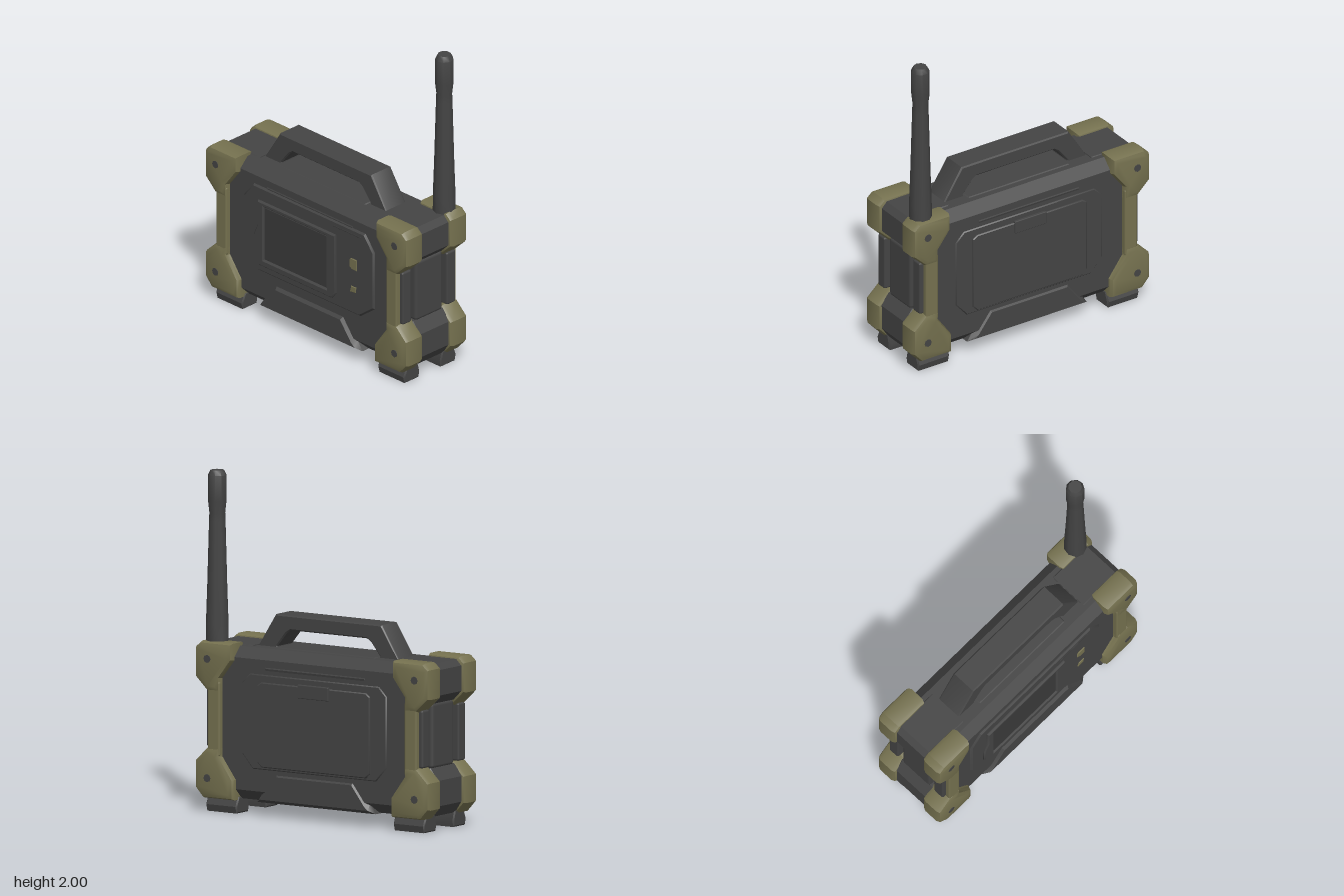
import * as THREE from 'three';
import { toCreasedNormals } from 'three/addons/utils/BufferGeometryUtils.js';
import { RoundedBoxGeometry } from 'three/addons/geometries/RoundedBoxGeometry.js';

const material = (name, color) => {
  const m = new THREE.MeshStandardMaterial({ color });
  m.name = name;
  return m;
};

export function createModel() {
  const group = new THREE.Group();
  group.name = 'fieldRadio';
  const dark = material('charcoal', 0x444444);
  const screenGrey = material('screenGrey', 0x3a3a3a);
  const olive = material('olive', 0x75714f);

  const add = (name, geometry, mat, x = 0, y = 0, z = 0) => {
    const mesh = new THREE.Mesh(geometry, mat);
    mesh.name = name;
    mesh.position.set(x, y, z);
    group.add(mesh);
    return mesh;
  };
  const box = (name, mat, x0, x1, y0, y1, z0, z1, r = 0.01) =>
    add(name, new RoundedBoxGeometry(x1 - x0, y1 - y0, z1 - z0, 1, r), mat,
      (x0 + x1) / 2, (y0 + y1) / 2, (z0 + z1) / 2);

  // Bevelled slab: outline in xy, between z0 and z1, bevel kept inside the outline
  const slab = (points, z0, z1, bevel = 0.01, segments = 1, holes = []) => {
    const shape = new THREE.Shape(points.map(([x, y]) => new THREE.Vector2(x, y)));
    for (const h of holes) shape.holes.push(new THREE.Path(h.map(([x, y]) => new THREE.Vector2(x, y))));
    const g = new THREE.ExtrudeGeometry(shape, {
      depth: z1 - z0 - 2 * bevel, bevelEnabled: true, bevelSize: bevel, bevelThickness: bevel,
      bevelOffset: -bevel, bevelSegments: segments,
    });
    g.translate(0, 0, z0 + bevel);
    return toCreasedNormals(g, 0.6);
  };
  const flip = (points, s) => points.map(([x, y]) => [x * s, y]);
  const mirrored = (half) => [...half, ...flip(half, -1).reverse()];
  const rect = (x0, x1, y0, y1) => [[x0, y0], [x1, y0], [x1, y1], [x0, y1]];

  // Main case with wide chamfers, and its raised middle field
  add('case', slab(mirrored([[0.68, 0.085], [0.72, 0.14], [0.72, 0.92], [0.68, 0.98]]), -0.215, 0.215, 0.06), dark);
  add('frontField', slab(mirrored([[0.42, 0.31], [0.54, 0.4], [0.54, 0.77], [0.46, 0.87]]), 0.17, 0.226, 0.015), dark);

  // Blocks running through the case at the bottom and top edges
  add('lowerBlock', slab(mirrored([[0.42, 0.08], [0.38, 0.14], [0.28, 0.27]]), -0.225, 0.232, 0.03), dark);
  const crown = slab(mirrored([[0.2, 0.8], [0.218, 0.87], [0.2, 0.91], [0.11, 0.985]]), -0.37, 0.37, 0.02);
  crown.rotateY(Math.PI / 2);
  add('topCrown', crown, dark);

  // Front display and buttons
  add('displayBezel', slab(
    [[-0.4, 0.36], [0.2, 0.36], [0.23, 0.4], [0.23, 0.78], [-0.41, 0.78], [-0.41, 0.62], [-0.44, 0.55], [-0.44, 0.42]],
    0.2, 0.24, 0.008, 1, [rect(-0.36, 0.16, 0.405, 0.75)]), dark);
  box('screen', screenGrey, -0.355, 0.155, 0.41, 0.745, 0.215, 0.231, 0.002);
  add('upperButton', slab([[0.34, 0.62], [0.36, 0.605], [0.4, 0.605], [0.4, 0.675], [0.35, 0.675], [0.34, 0.66]],
    0.224, 0.233, 0.003), olive);
  add('lowerButton', slab([[0.345, 0.455], [0.39, 0.46], [0.395, 0.495], [0.355, 0.495]], 0.224, 0.233, 0.003), olive);
  box('frontSeam', screenGrey, 0.2, 0.43, 0.828, 0.834, 0.222, 0.229, 0.001);

  // Battery door and latch on the back
  add('backField', slab(mirrored([[0.44, 0.27], [0.52, 0.36], [0.52, 0.78], [0.46, 0.84]]), -0.221, -0.17, 0.012), dark);
  add('batteryDoor', slab(mirrored([[0.37, 0.29], [0.4, 0.32], [0.4, 0.77], [0.37, 0.79]]), -0.231, -0.2, 0.006), dark);
  box('doorLatch', dark, -0.11, 0.11, 0.72, 0.8, -0.238, -0.2, 0.005);

  // Carrying handle
  add('handle', slab(mirrored([[0.36, 0.96], [0.51, 0.96], [0.375, 1.172]]).slice(0, 3).concat(
    [[-0.375, 1.172], [-0.51, 0.96], [-0.36, 0.96], [-0.365, 0.985], [-0.3, 1.065], [-0.27, 1.085],
      [0.27, 1.085], [0.3, 1.065], [0.365, 0.985]]), -0.077, 0.085, 0.008), dark);

  const upper = [[0.57, 1.0], [0.79, 1.0], [0.83, 0.965], [0.83, 0.79], [0.745, 0.71], [0.655, 0.71], [0.655, 0.79], [0.57, 0.9]];
  const lower = [[0.56, 0.08], [0.775, 0.08], [0.83, 0.14], [0.83, 0.3], [0.745, 0.38], [0.655, 0.38], [0.655, 0.33], [0.56, 0.2]];
  const upperCore = [[0.5, 0.985], [0.775, 0.985], [0.81, 0.95], [0.81, 0.8], [0.755, 0.745], [0.5, 0.745]];
  const lowerCore = [[0.5, 0.085], [0.765, 0.085], [0.81, 0.15], [0.81, 0.3], [0.755, 0.37], [0.5, 0.37]];

  for (const s of [1, -1]) {
    const side = s > 0 ? 'left' : 'right';
    const span = (a, b) => (s > 0 ? [a, b] : [-b, -a]);

    // Dark core between the bumpers, with the side panel
    add(side + 'UpperCore', slab(flip(upperCore, s), -0.13, 0.13, 0.01), dark);
    add(side + 'LowerCore', slab(flip(lowerCore, s), -0.13, 0.13, 0.01), dark);
    box(side + 'SidePanel', dark, ...span(0.68, 0.765), 0.365, 0.75, -0.115, 0.108, 0.02);

    for (const f of [1, -1]) {
      const end = side + (f > 0 ? 'Front' : 'Back');
      const depth = (a, b) => (f > 0 ? [a, b] : [-b, -a]);

      // Corner bumpers joined by a strip
      add(end + 'UpperBumper', slab(flip(upper, s), ...depth(0.108, 0.256), 0.03, 2), olive);
      add(end + 'LowerBumper', slab(flip(lower, s), ...depth(0.108, 0.256), 0.03, 2), olive);
      box(end + 'BumperStrip', olive, ...span(0.655, 0.742), 0.33, 0.77, ...depth(0.19, 0.247), 0.012);
      box(end + 'SideRail', dark, ...span(0.68, 0.768), 0.38, 0.72, ...depth(0.145, 0.218), 0.012);

      // Bolts
      for (const y of [0.9, 0.2]) {
        const bolt = add(end + 'Bolt', new THREE.CylinderGeometry(0.024, 0.024, 0.008, 8), dark, s * 0.735, y, f * 0.255);
        bolt.rotation.x = Math.PI / 2;
      }

      // Feet, slightly splayed
      const foot = slab([[0.09, 0], [0.205, 0], [0.215, 0.04], [0.19, 0.1], [0.1, 0.1], [0.085, 0.04]], -0.11, 0.11, 0.008);
      foot.rotateY(f > 0 ? -Math.PI / 2 : Math.PI / 2);
      add(end + 'Foot', foot, dark, s * 0.665, 0, 0);
    }
  }

  // Antenna with a thicker tip
  const profile = [[0, 0.97], [0.068, 0.97], [0.067, 1.1], [0.06, 1.3], [0.049, 1.7], [0.047, 1.75],
    [0.055, 1.82], [0.055, 1.97], [0.04, 2], [0, 2]].map(([r, y]) => new THREE.Vector2(r, y));
  const antenna = new THREE.LatheGeometry(profile, 9);
  antenna.translate(0, 0, 0);
  add('antenna', toCreasedNormals(antenna, 0.8), dark, 0.727, 0, -0.163);

  return group;
}
